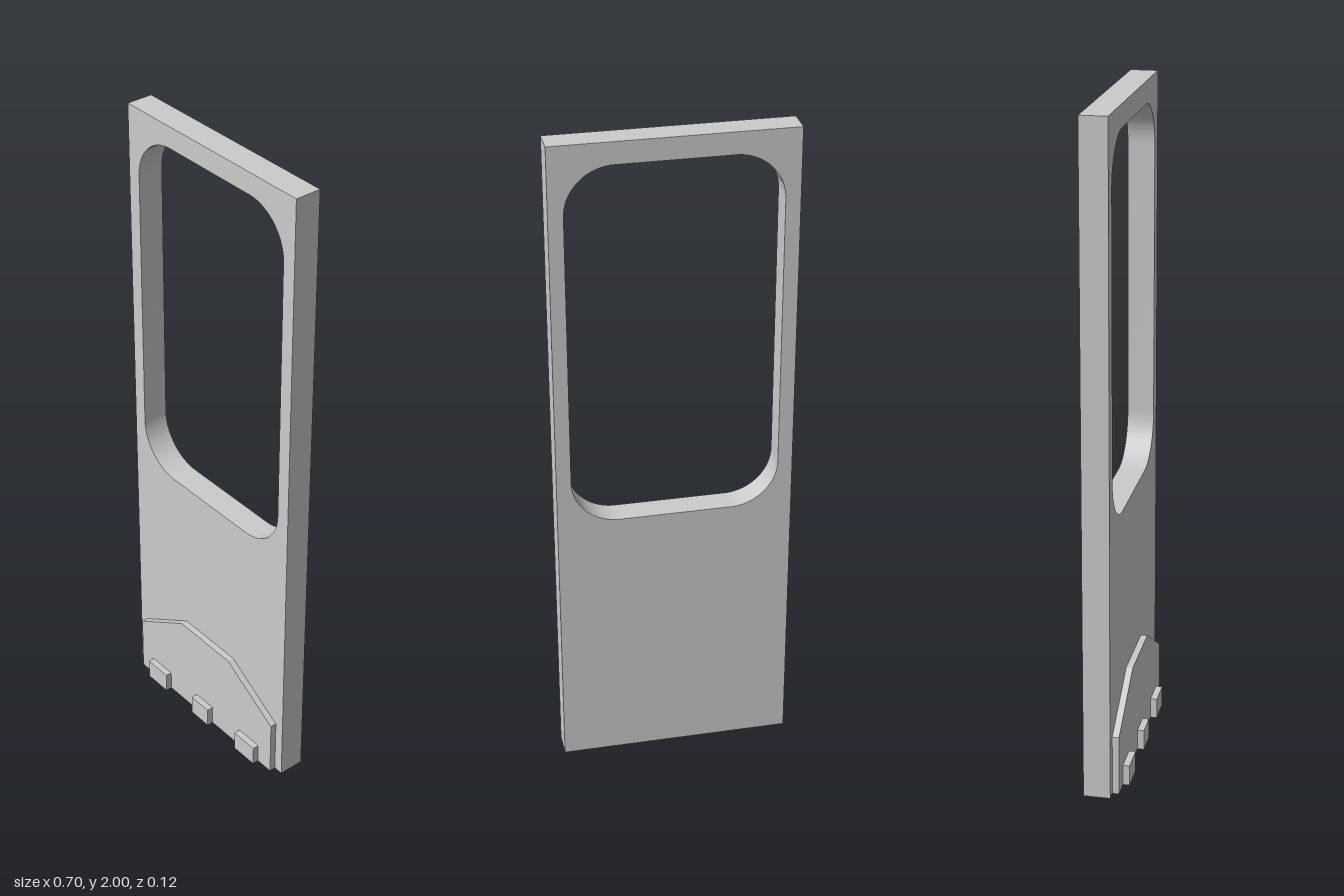
import * as THREE from 'three';
import { toCreasedNormals } from 'three/addons/utils/BufferGeometryUtils.js';

const W = 0.348;            // half width of the door
const BACK = -0.06, FACE = 0.02, PLATE = 0.04, FRONT = 0.06;

function roundedRect(path, x0, y0, x1, y1, r) {
  path.moveTo(x0 + r, y0);
  path.lineTo(x1 - r, y0);
  path.absarc(x1 - r, y0 + r, r, -Math.PI / 2, 0, false);
  path.lineTo(x1, y1 - r);
  path.absarc(x1 - r, y1 - r, r, 0, Math.PI / 2, false);
  path.lineTo(x0 + r, y1);
  path.absarc(x0 + r, y1 - r, r, Math.PI / 2, Math.PI, false);
  path.lineTo(x0, y0 + r);
  path.absarc(x0 + r, y0 + r, r, Math.PI, Math.PI * 1.5, false);
  return path;
}

function polygon(points) {
  return new THREE.Shape(points.map(([x, y]) => new THREE.Vector2(x, y)));
}

export function createModel() {
  const model = new THREE.Group();
  model.name = 'doorPanel';
  const material = new THREE.MeshStandardMaterial({ color: 0xcccccc });

  // Extrudes a shape between two depths
  function slab(name, shape, z0, z1) {
    let geometry = new THREE.ExtrudeGeometry(shape, { depth: z1 - z0, bevelEnabled: false, curveSegments: 16 });
    geometry = toCreasedNormals(geometry, Math.PI / 7);
    geometry.translate(0, 0, z0);
    const mesh = new THREE.Mesh(geometry, material);
    mesh.name = name;
    model.add(mesh);
  }

  // Tall panel with a rounded window opening
  const panel = polygon([[-W, 0], [W, 0], [W, 2], [-W, 2]]);
  panel.holes.push(roundedRect(new THREE.Path(), -0.305, 0.83, 0.305, 1.935, 0.14));
  slab('panel', panel, BACK, FACE);

  // Kick plate with chamfered shoulders
  slab('kickPlate', polygon([
    [-0.318, 0], [0.318, 0], [0.318, 0.185], [0.113, 0.31], [-0.113, 0.31], [-0.318, 0.185],
  ]), FACE, PLATE);

  // Three small blocks along the foot of the plate
  for (const [name, x, width] of [['rightBlock', -0.216, 0.09], ['middleBlock', 0, 0.078], ['leftBlock', 0.216, 0.09]]) {
    const block = new THREE.Mesh(new THREE.BoxGeometry(width, 0.064, FRONT - PLATE), material);
    block.name = name;
    block.position.set(x, 0.032, (PLATE + FRONT) / 2);
    model.add(block);
  }

  return model;
}
